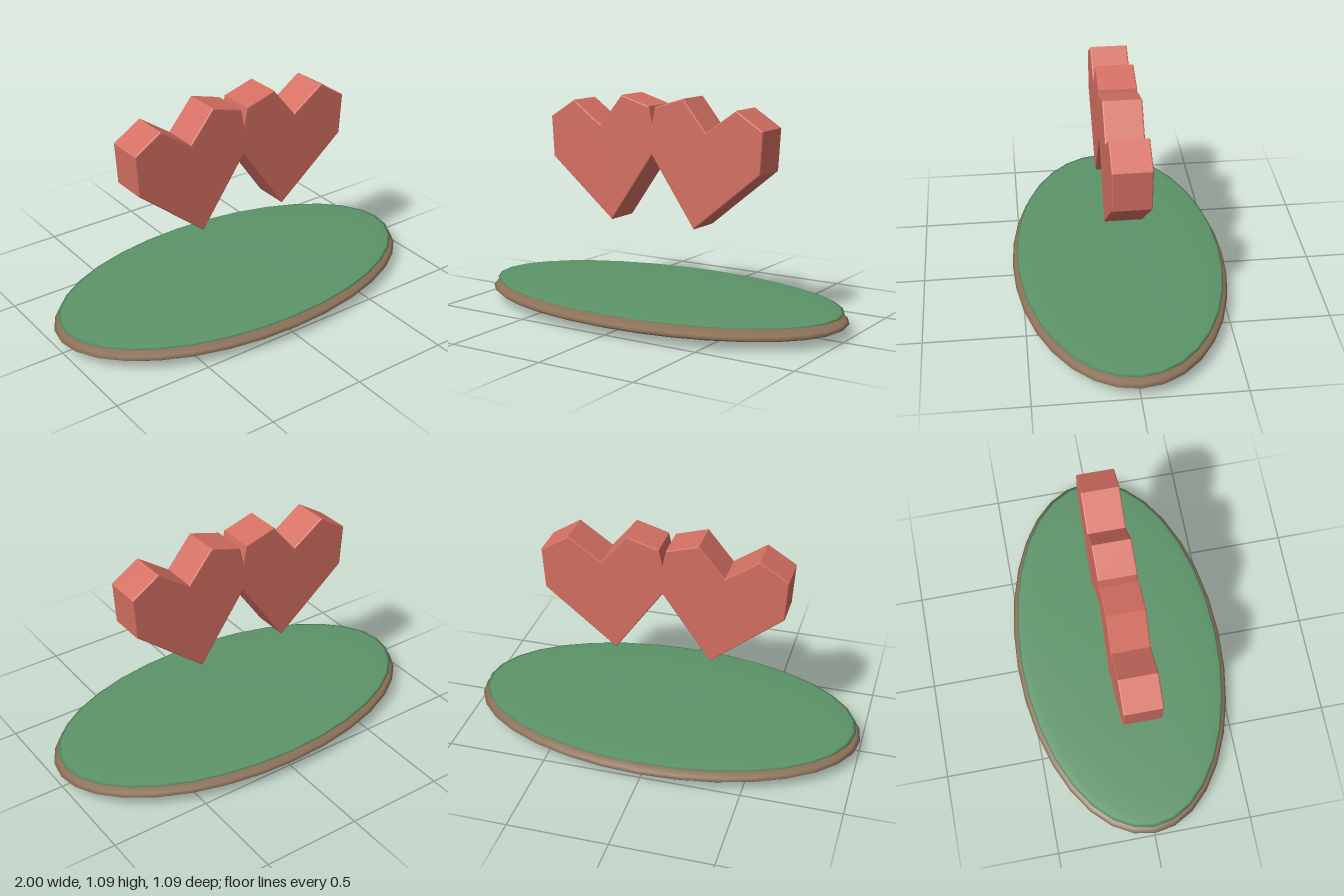
import * as THREE from 'three';

const paint = (color) => new THREE.MeshStandardMaterial({ color });

// Flattened sphere used for the layers of the base
function disc(name, color, rx, ry, rz, y) {
  const mesh = new THREE.Mesh(new THREE.SphereGeometry(1, 32, 16), paint(color));
  mesh.name = name;
  mesh.scale.set(rx, ry, rz);
  mesh.position.y = y;
  return mesh;
}

// Faceted heart with its lower tip at the origin, slightly bevelled
function heartGeometry(depth, bevel) {
  const half = [[0.315, 0.34], [0.3, 0.546], [0.147, 0.615]];
  const mirrored = half.map(([x, y]) => [-x, y]).reverse();
  const outline = [[0, 0], ...half, [0, 0.479], ...mirrored];
  const shape = new THREE.Shape(outline.map(([x, y]) => new THREE.Vector2(x, y)));
  const geometry = new THREE.ExtrudeGeometry(shape, {
    depth: depth - 2 * bevel,
    bevelEnabled: true,
    bevelThickness: bevel,
    bevelSize: bevel,
    bevelOffset: -bevel,
    bevelSegments: 2,
  });
  return geometry.translate(0, 0, -depth / 2 + bevel);
}

export function createModel() {
  const model = new THREE.Group();

  // Oval base: earth below, grass on top
  model.add(disc('earthBase', 0x8b7058, 1, 0.06, 0.545, 0.06));
  model.add(disc('grassTop', 0x5c9468, 0.976, 0.018, 0.523, 0.105));

  // Pair of floating hearts leaning away from each other
  const geometry = heartGeometry(0.188, 0.006);
  const red = paint(0xd46f62);
  for (const side of [-1, 1]) {
    const heart = new THREE.Mesh(geometry, red);
    heart.name = side > 0 ? 'leftHeart' : 'rightHeart';
    heart.position.set(side * 0.24, 0.465, 0);
    heart.rotation.z = -side * 0.137;
    model.add(heart);
  }
  return model;
}
